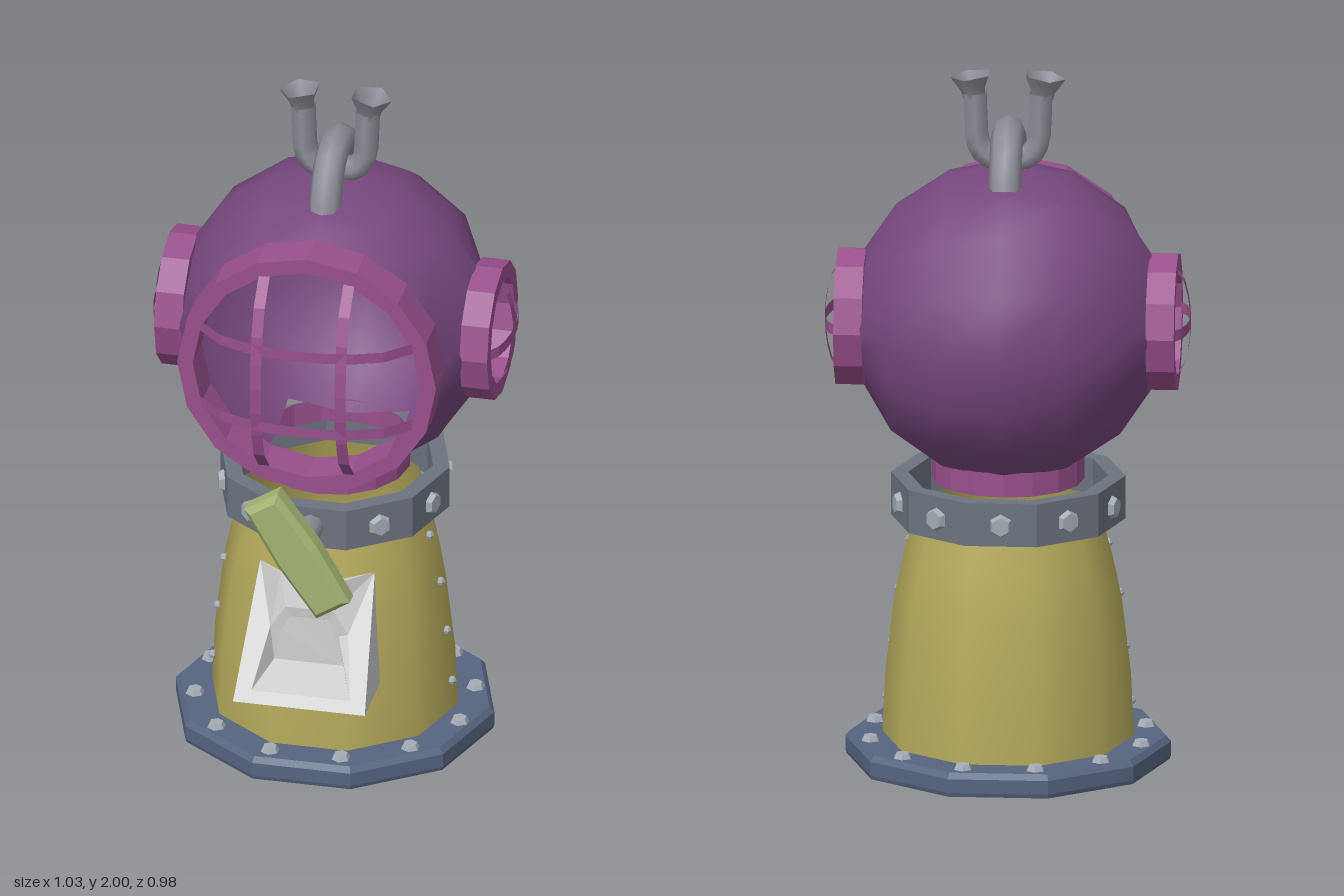
import * as THREE from 'three';
import { mergeVertices } from 'three/addons/utils/BufferGeometryUtils.js';

const V2 = (a) => a.map(([x, y]) => new THREE.Vector2(x, y));
const V3 = (a) => a.map((p) => new THREE.Vector3(...p));
const mat = (color, flatShading = false) =>
  new THREE.MeshStandardMaterial({ color, flatShading, side: THREE.DoubleSide });

const purple = mat(0x77487f), pink = mat(0x99508c, true), yellow = mat(0xb5a95c);
const steel = mat(0x6c737f, true), navy = mat(0x56657f, true), green = mat(0xa3b272, true);
const pipeGrey = mat(0x8c8c96), grey = mat(0xcccccc, true), boltGrey = mat(0xa4abb4, true);

const ZC = -0.025; // axis of the body
const HEAD = [0, 1.28, -0.035], R = 0.455; // helmet sphere

function add(parent, name, geometry, material, pos = [0, 0, 0]) {
  const m = new THREE.Mesh(geometry, material);
  m.name = name;
  m.position.set(...pos);
  parent.add(m);
  return m;
}

// Ten-sided lathe with corners on the x axis
const lathe10 = (pts) => new THREE.LatheGeometry(V2(pts), 10).rotateY(Math.PI / 10);

// Rectangular-section ring
const ring = (ri, ro, a, b) => [[ri, a], [ro, a], [ro, b], [ri, b], [ri, a]];

// Helmet: sphere with round front opening, diamond side openings and an open neck
function helmetGeometry() {
  let g = new THREE.SphereGeometry(R, 16, 6, 0, Math.PI * 2, Math.PI / 8, Math.PI * 0.75);
  g.rotateZ(-Math.PI / 2);
  g.deleteAttribute('normal');
  g.deleteAttribute('uv');
  g = mergeVertices(g, 1e-4);
  const p = g.attributes.position, v = new THREE.Vector3(), front = [];
  const rim = THREE.MathUtils.degToRad(53), index = [];
  const pts = [];
  for (let i = 0; i < p.count; i++) {
    v.fromBufferAttribute(p, i);
    pts.push(v.clone());
    front[i] = v.z > R * Math.cos(rim);
    if (front[i]) {
      const s = (R * Math.sin(rim)) / Math.max(Math.hypot(v.x, v.y), 1e-4);
      v.set(v.x * s, v.y * s, R * Math.cos(rim));
    } else if (Math.abs(v.x) > 0.41) {
      const s = 0.174 / (Math.abs(v.y) + Math.abs(v.z));
      v.set(v.x, v.y * s, v.z * s);
    }
    p.setXYZ(i, v.x, v.y, v.z);
  }
  for (let i = 0; i < g.index.count; i += 3) {
    const t = [0, 1, 2].map((k) => g.index.getX(i + k));
    const c = new THREE.Vector3();
    t.forEach((k) => c.add(pts[k]));
    const atNeck = c.normalize().y < -Math.cos(THREE.MathUtils.degToRad(25));
    if (!atNeck && !t.every((k) => front[k])) index.push(...t);
  }
  g.setIndex(index);
  g.computeVertexNormals();
  return g;
}

// Thin bar bowed outward along z
function bar(half, width, zEnd, zMid) {
  const g = new THREE.PlaneGeometry(half * 2, width, 8, 1), p = g.attributes.position;
  for (let i = 0; i < p.count; i++) {
    const t = Math.min(1, Math.abs(p.getX(i)) / half);
    p.setZ(i, zEnd + (zMid - zEnd) * Math.pow(1 - t * t, 0.6));
  }
  g.computeVertexNormals();
  return g;
}

// Rim with a grille of crossed bars, facing +z
function porthole(name, o) {
  const w = new THREE.Group();
  w.name = name;
  add(w, 'rim', new THREE.LatheGeometry(V2(ring(o.ri, o.ro, o.z0, o.z1)), o.sides).rotateX(Math.PI / 2), pink);
  for (const d of o.offsets) {
    const half = Math.sqrt(o.ri * o.ri - d * d) + 0.01;
    add(w, 'horizontalBar', bar(half, 0.032, o.z1 - 0.01, o.zMid), pink, [0, d, 0]);
    add(w, 'verticalBar', bar(half, 0.032, o.z1 - 0.01, o.zMid).rotateZ(Math.PI / 2), pink, [d, 0, 0]);
  }
  w.position.set(...HEAD);
  return w;
}

// Tube through points
function tube(pts, r, sides, steps = 10) {
  return new THREE.TubeGeometry(new THREE.CatmullRomCurve3(V3(pts)), steps, r, sides);
}

// Surface through a series of equal-length closed loops, last one capped
function loft(loops) {
  const n = loops[0].length, index = [];
  for (let l = 0; l + 1 < loops.length; l++) {
    for (let i = 0; i < n; i++) {
      const a = l * n + i, b = l * n + ((i + 1) % n);
      index.push(a, b, b + n, a, b + n, a + n);
    }
  }
  const s = (loops.length - 1) * n;
  for (let i = 1; i < n - 1; i++) index.push(s, s + i, s + i + 1);
  const g = new THREE.BufferGeometry();
  g.setAttribute('position', new THREE.Float32BufferAttribute(loops.flat(2), 3));
  g.setIndex(index);
  g.computeVertexNormals();
  return g;
}

export function createModel() {
  const model = new THREE.Group();
  model.name = 'helmetOnStand';

  // Base plate, body and collar
  add(model, 'basePlate', lathe10([[0.455, 0], [0.459, 0.012], [0.459, 0.052], [0.445, 0.068], [0.34, 0.068]]), navy, [0, 0, ZC]);
  add(model, 'body', lathe10([[0.355, 0.06], [0.346, 0.25], [0.32, 0.47], [0.292, 0.6], [0.256, 0.73]]), yellow, [0, 0, ZC]);
  add(model, 'collar', lathe10(ring(0.282, 0.33, 0.7, 0.825)), steel, [0, 0, ZC]);

  // Bolts on the base
  for (let i = 0; i < 12; i++) {
    const a = ((i + 0.5) * Math.PI) / 6;
    add(model, 'baseBolt', new THREE.CylinderGeometry(0.02, 0.028, 0.016, 6), boltGrey,
      [0.395 * Math.cos(a), 0.075, ZC + 0.395 * Math.sin(a)]);
  }
  // Bolts on the collar faces, leaving the front one for the valve
  for (let i = 0; i < 10; i++) {
    if (i === 2) continue;
    const a = ((i + 0.5) * Math.PI) / 5;
    const b = add(model, 'collarBolt', new THREE.CylinderGeometry(0.027, 0.036, 0.02, 6).rotateX(Math.PI / 2), boltGrey,
      [0.32 * Math.cos(a), 0.76, ZC + 0.32 * Math.sin(a)]);
    b.rotation.y = Math.PI / 2 - a;
  }
  // Rivets down both side seams
  for (const s of [-1, 1]) {
    for (const [y, r] of [[0.16, 0.345], [0.32, 0.33], [0.475, 0.312], [0.62, 0.28]]) {
      add(model, 'seamRivet', new THREE.SphereGeometry(0.013, 6, 4), boltGrey, [s * r, y, 0.01]);
    }
  }

  // Helmet, neck and windows
  add(model, 'helmet', helmetGeometry(), purple, HEAD);
  add(model, 'neck', new THREE.CylinderGeometry(0.215, 0.215, 0.07, 16, 1, true), pink, [0, 0.85, ZC]);
  model.add(porthole('frontWindow', { ri: 0.328, ro: 0.373, z0: 0.26, z1: 0.377, zMid: 0.49, sides: 16, offsets: [-0.122, 0.122] }));
  for (const s of [-1, 1]) {
    const port = porthole(s > 0 ? 'leftWindow' : 'rightWindow',
      { ri: 0.152, ro: 0.198, z0: 0.4, z1: 0.48, zMid: 0.515, sides: 12, offsets: [0] });
    port.rotation.y = (s * Math.PI) / 2;
    model.add(port);
  }

  // Carrying loop on top
  add(model, 'topLoop', tube([[0, 1.66, 0.115], [0, 1.73, 0.09], [0, 1.8, 0.045], [0, 1.822, -0.03],
    [0, 1.8, -0.105], [0, 1.73, -0.15], [0, 1.66, -0.175]], 0.046, 8, 12), pipeGrey);

  // Pair of flared pipes
  for (const s of [-1, 1]) {
    add(model, 'pipe', tube([[0, 1.75, -0.03], [s * 0.055, 1.755, -0.03], [s * 0.083, 1.79, -0.03],
      [s * 0.09, 1.86, -0.03], [s * 0.093, 1.94, -0.03]], 0.036, 6), pipeGrey);
    const flare = add(model, 'pipeFlare', new THREE.LatheGeometry(V2([[0.034, 0], [0.036, 0.02], [0.061, 0.065]]), 5), pipeGrey,
      [s * 0.093, 1.925, -0.03]);
    flare.rotation.set(0, (s * Math.PI) / 2, 0);
    flare.rotateX(0.14);
  }

  // Valve stem and slanted handle
  add(model, 'valveStem', new THREE.CylinderGeometry(0.038, 0.038, 0.14, 8).rotateX(Math.PI / 2), pipeGrey, [0, 0.765, 0.35]);
  const outline = new THREE.Shape(V2([[-0.042, -0.177], [0.042, -0.177], [0.052, 0], [0.042, 0.177], [-0.042, 0.177], [-0.052, 0]]));
  const handle = add(model, 'valveHandle', new THREE.ExtrudeGeometry(outline,
    { depth: 0.045, bevelEnabled: true, bevelThickness: 0.02, bevelSize: 0.016, bevelSegments: 1 }), green, [0, 0.765, 0.42]);
  handle.rotation.z = 0.57;

  // Sloping hood with a recessed mouth
  const slant = (y) => 0.44 - ((y - 0.26) / 0.33) * 0.24;
  const half = (h) => [...h.map(([x, y, z]) => [x, y, z]), ...[...h].reverse().map(([x, y, z]) => [-x, y, z])];
  const outer = [[0.19, 0.26, 0.44], [0.165, 0.59, 0.2], [0.09, 0.59, 0.272]];
  add(model, 'hood', loft([
    half(outer.map(([x, y]) => [x, y, 0.19])),
    half(outer),
    half([[0.142, 0.29], [0.112, 0.44], [0.07, 0.505]].map(([x, y]) => [x, y, Math.max(slant(y), 0.302)])),
    half([[0.1, 0.34, 0.312], [0.085, 0.43, 0.306], [0.055, 0.475, 0.3]]),
  ]), grey);

  return model;
}
